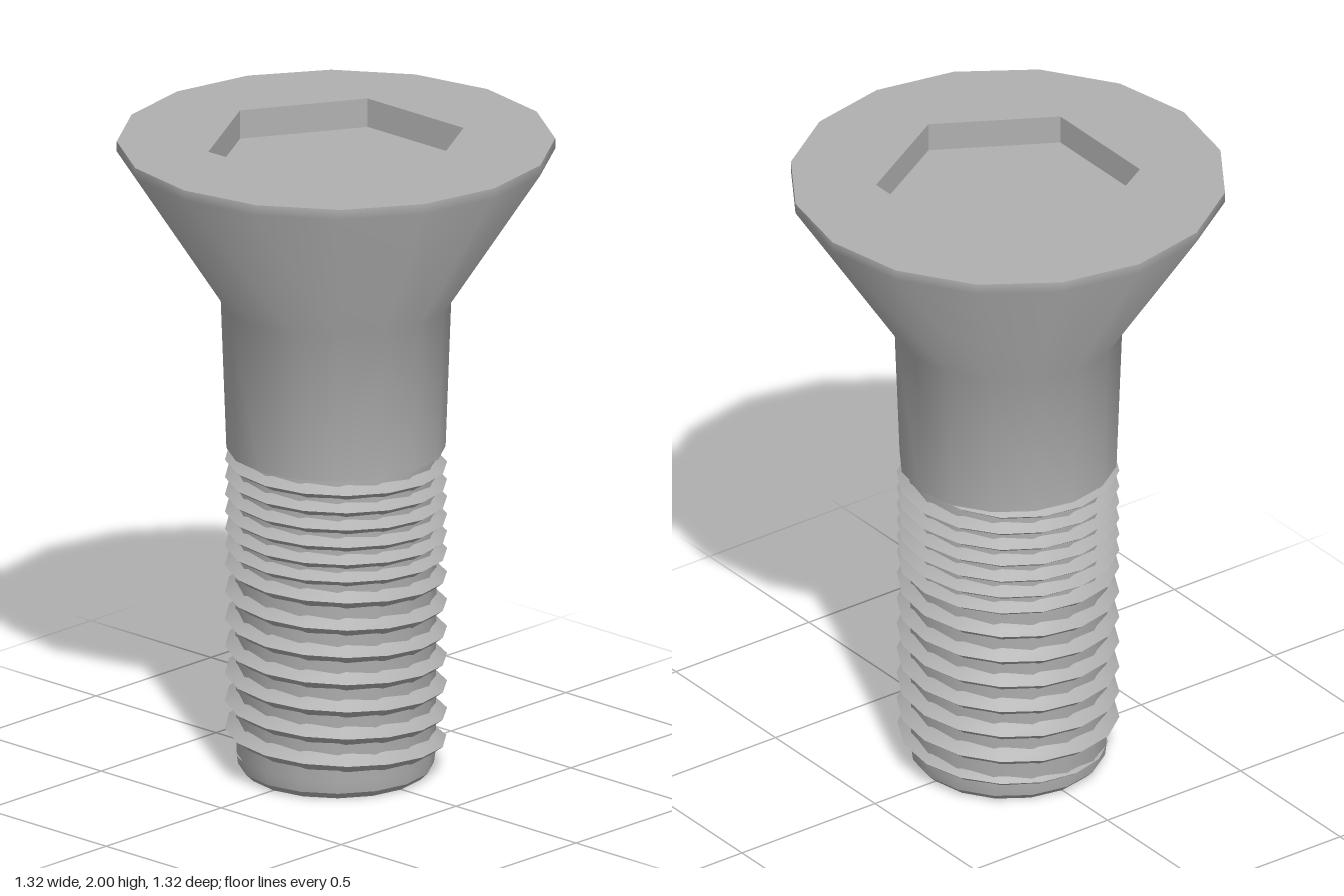
import * as THREE from 'three';
import { toCreasedNormals } from 'three/addons/utils/BufferGeometryUtils.js';

const SIDES = 16;
const HEX_RADIUS = 0.4;
const HEAD_RADIUS = 0.66;
const steel = new THREE.MeshStandardMaterial({ color: 0xb0b0b0 });
steel.name = 'steel grey';

function mesh(name, geometry) {
  const m = new THREE.Mesh(geometry, steel);
  m.name = name;
  return m;
}

function lathe(name, profile, sides, phiStart, crease) {
  const points = profile.map(([r, y]) => new THREE.Vector2(r, y));
  const g = new THREE.LatheGeometry(points, sides, phiStart);
  return mesh(name, toCreasedNormals(g, crease));
}

function polygon(radius, sides) {
  return Array.from({ length: sides }, (_, i) => {
    const a = (i / sides) * Math.PI * 2;
    return new THREE.Vector2(radius * Math.cos(a), radius * Math.sin(a));
  });
}

// Helical ridge: coarse pitch near the tip, finer pitch under the neck
function threadGeometry() {
  const start = -0.7, end = 12.8, root = 0.298, crest = 0.336;
  const steps = Math.round((end - start) * SIDES);
  const positions = [], index = [];
  for (let i = 0; i <= steps; i++) {
    const turn = start + (i / steps) * (end - start);
    const a = turn * Math.PI * 2;
    const y = Math.min(0.111 + 0.0865 * turn, 0.975 + 0.055 * (turn - 12));
    const fade = Math.min(1, (turn - start) / 0.6, (end - turn) / 0.2);
    const r = root + (crest - root) * fade;
    const h = (turn < 6.5 ? 0.029 : 0.025) * fade;
    for (const [radius, py] of [[root, y - h], [r, y], [root, y + h]]) {
      positions.push(radius * Math.cos(a), py, radius * Math.sin(a));
    }
    if (i === steps) continue;
    for (let k = 0; k < 2; k++) {
      const p = i * 3 + k, q = p + 3;
      index.push(p, p + 1, q, q, p + 1, q + 1);
    }
  }
  const g = new THREE.BufferGeometry();
  g.setAttribute('position', new THREE.Float32BufferAttribute(positions, 3));
  g.setIndex(index);
  return toCreasedNormals(g, 0.6);
}

export function createModel() {
  const bolt = new THREE.Group();
  bolt.name = 'countersunkBolt';

  // Flared head running smoothly into the plain neck
  bolt.add(lathe('headAndNeck', [
    [0.29, 1.025], [0.33, 1.025], [0.347, 1.49], [HEAD_RADIUS, 1.968], [HEAD_RADIUS, 2],
  ], SIDES, 0, 0.75));

  // Flat top face with a hexagonal opening
  const top = new THREE.Shape(polygon(HEAD_RADIUS, SIDES));
  top.holes.push(new THREE.Path(polygon(HEX_RADIUS, 6)));
  const face = mesh('headTop', new THREE.ShapeGeometry(top));
  face.rotation.x = -Math.PI / 2;
  face.position.y = 2;
  bolt.add(face);

  // Shallow hex socket: inward walls and floor
  bolt.add(lathe('hexSocket', [
    [HEX_RADIUS, 2], [HEX_RADIUS, 1.91], [0, 1.91],
  ], 6, Math.PI / 2, 0.5));

  // Threaded core with a chamfered tip
  bolt.add(lathe('shankCore', [
    [0, 0], [0.272, 0], [0.295, 0.022], [0.3, 0.06], [0.305, 1.03],
  ], SIDES, 0, 0.6));

  bolt.add(mesh('screwThread', threadGeometry()));
  return bolt;
}
